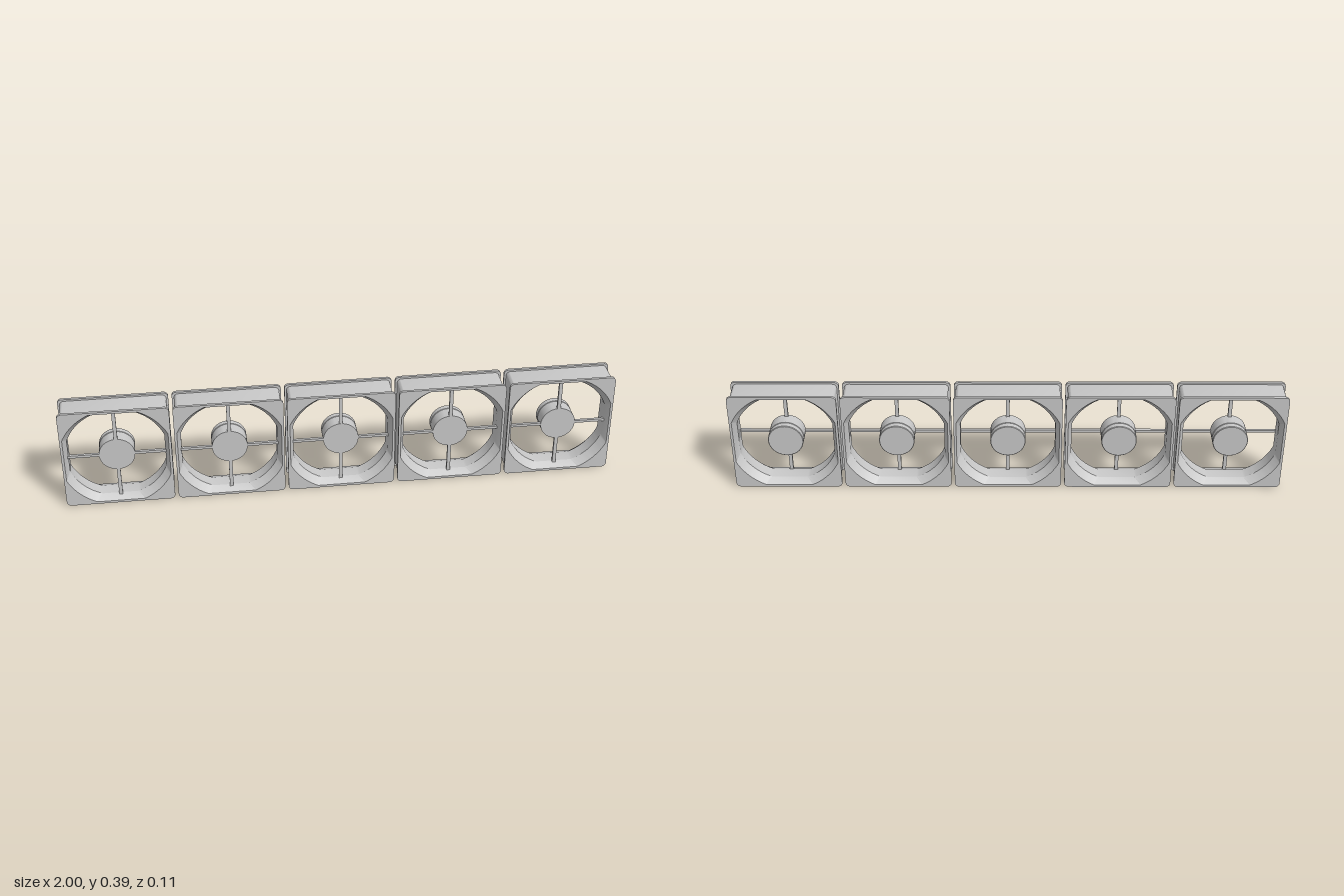
import * as THREE from 'three';
import { toCreasedNormals } from 'three/addons/utils/BufferGeometryUtils.js';

const SIZE = 0.39, PITCH = 0.4025, DEPTH = 0.11, FLANGE = 0.01;
const H = DEPTH / 2;

// Circle cut off by four flats
function ductOutline(radius, flat) {
  const a = Math.acos(flat / radius), pts = [];
  for (let q = 0; q < 4; q++) {
    const arc = Math.PI / 2 - 2 * a;
    for (let i = 0; i <= 16; i++) {
      const t = q * Math.PI / 2 + a + arc * i / 16;
      pts.push(new THREE.Vector2(radius * Math.cos(t), radius * Math.sin(t)));
    }
  }
  return pts;
}

// Square with rounded corners
function squareOutline(half, r) {
  const pts = [];
  for (let q = 0; q < 4; q++) {
    const mid = Math.PI / 4 + q * Math.PI / 2;
    const cx = Math.sign(Math.cos(mid)) * (half - r), cy = Math.sign(Math.sin(mid)) * (half - r);
    for (let i = 0; i <= 6; i++) {
      const t = (q + i / 6) * Math.PI / 2;
      pts.push(new THREE.Vector2(cx + r * Math.cos(t), cy + r * Math.sin(t)));
    }
  }
  return pts;
}

// Open skin through matching outlines ordered from back to front
function loft(sections, inward) {
  const n = sections[0].pts.length, pos = [], idx = [];
  for (const s of sections) for (const p of s.pts) pos.push(p.x, p.y, s.z);
  for (let k = 0; k < sections.length - 1; k++) {
    for (let i = 0; i < n; i++) {
      const a = k * n + i, b = k * n + (i + 1) % n, c = b + n, d = a + n;
      if (inward) idx.push(a, c, b, a, d, c);
      else idx.push(a, b, c, a, c, d);
    }
  }
  const g = new THREE.BufferGeometry();
  g.setAttribute('position', new THREE.Float32BufferAttribute(pos, 3));
  g.setIndex(idx);
  return toCreasedNormals(g, 0.4);
}

export function createModel() {
  const model = new THREE.Group();
  model.name = 'fanRow';
  const grey = new THREE.MeshStandardMaterial({ color: 0xc8c8c8 });
  grey.name = 'lightGrey';

  // Mounting flange with the duct mouth cut out
  const mouth = ductOutline(0.205, 0.186), throat = ductOutline(0.184, 0.172);
  const plate = new THREE.Shape(squareOutline(SIZE / 2, 0.016));
  plate.holes.push(new THREE.Path(mouth));
  const flangeGeo = toCreasedNormals(
    new THREE.ExtrudeGeometry(plate, { depth: FLANGE, bevelEnabled: false }), 0.4);

  // Outer wall between the flanges
  const wall = squareOutline(0.188, 0.016);
  const wallGeo = loft([{ pts: wall, z: -H + FLANGE }, { pts: wall, z: H - FLANGE }], false);

  // Duct liner flared at both ends
  const linerGeo = loft([
    { pts: mouth, z: -H }, { pts: throat, z: -0.025 },
    { pts: throat, z: 0.025 }, { pts: mouth, z: H },
  ], true);

  // Motor hub with a shallow groove
  const profile = [[0, -0.042], [0.062, -0.042], [0.064, -0.04], [0.064, -0.021], [0.062, -0.02],
    [0.062, -0.017], [0.064, -0.016], [0.064, 0.033], [0, 0.033]].map(p => new THREE.Vector2(...p));
  const hubGeo = toCreasedNormals(new THREE.LatheGeometry(profile, 40).rotateX(Math.PI / 2), 0.4);

  const spokeV = new THREE.BoxGeometry(0.013, 0.122, 0.01);
  const spokeH = new THREE.BoxGeometry(0.122, 0.01, 0.01);

  for (let i = 0; i < 5; i++) {
    const fan = new THREE.Group();
    fan.name = 'fan' + (i + 1);
    const add = (geo, name, x = 0, y = 0, z = 0) => {
      const m = new THREE.Mesh(geo, grey);
      m.name = name;
      m.position.set(x, y, z);
      fan.add(m);
    };
    add(flangeGeo, 'frontFlange', 0, 0, H - FLANGE);
    add(flangeGeo, 'backFlange', 0, 0, -H);
    add(wallGeo, 'outerWall');
    add(linerGeo, 'ductLiner');
    add(hubGeo, 'hub');
    for (const s of [-1, 1]) {
      add(spokeV, s > 0 ? 'topSpoke' : 'bottomSpoke', 0, s * 0.116, 0.027);
      add(spokeH, s > 0 ? 'leftSpoke' : 'rightSpoke', s * 0.116, 0, 0.027);
    }
    fan.position.set((i - 2) * PITCH, SIZE / 2, 0);
    model.add(fan);
  }
  return model;
}
